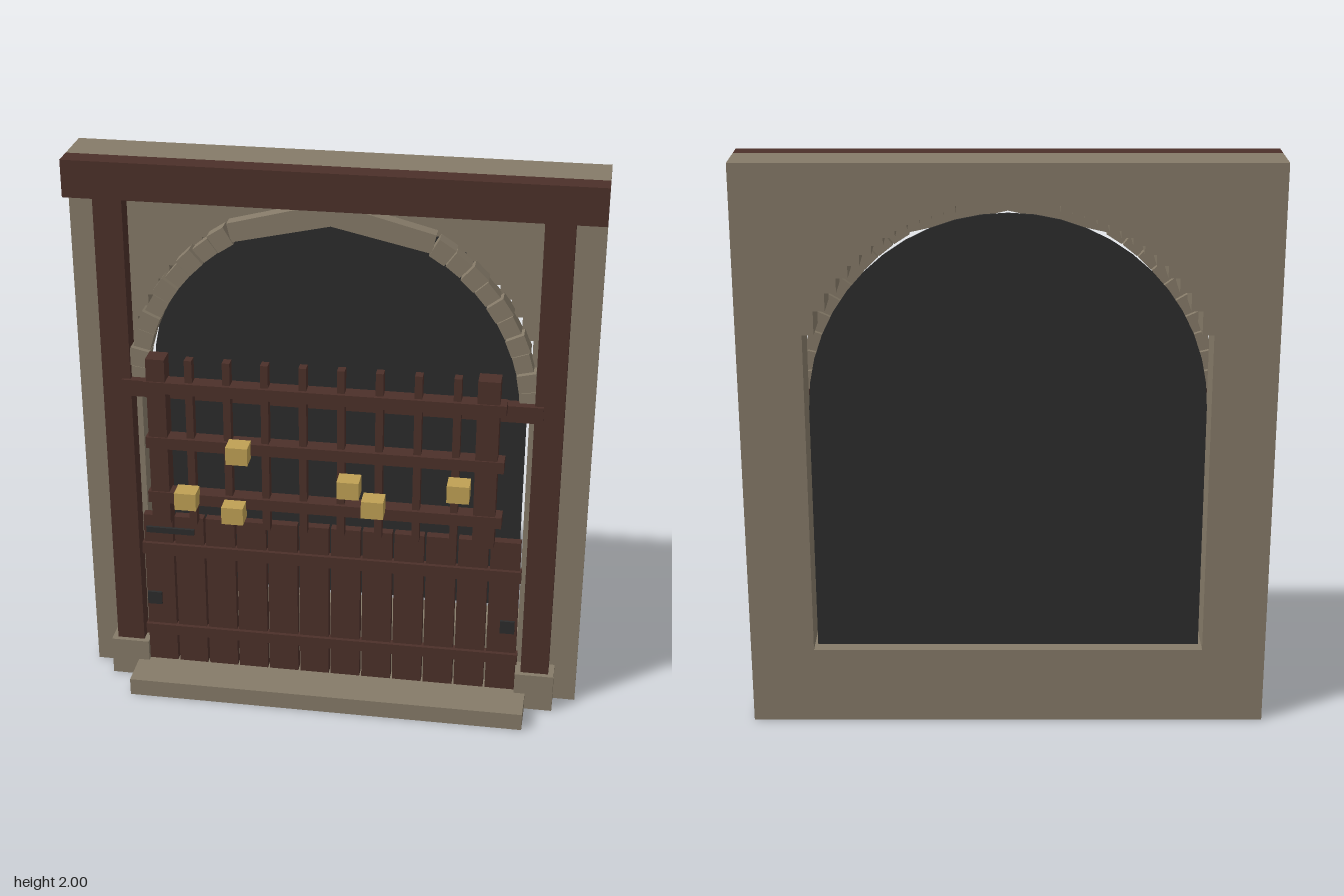
import * as THREE from 'three';

const mat = (name, color) => {
  const m = new THREE.MeshStandardMaterial({ color });
  m.name = name;
  return m;
};

export function createModel() {
  const group = new THREE.Group();
  group.name = 'archedGate';
  const stone = mat('stone', 0x857a68);
  const wood = mat('darkWood', 0x4b3029);
  const dark = mat('darkMetal', 0x2c2c2c);
  const gold = mat('gold', 0xbfa054);

  const add = (name, geometry, material) => {
    const mesh = new THREE.Mesh(geometry, material);
    mesh.name = name;
    group.add(mesh);
    return mesh;
  };
  // Box given by its limits on each axis
  const box = (name, material, x0, x1, y0, y1, z0, z1) => {
    const g = new THREE.BoxGeometry(x1 - x0, y1 - y0, z1 - z0);
    g.translate((x0 + x1) / 2, (y0 + y1) / 2, (z0 + z1) / 2);
    return add(name, g, material);
  };
  // Flat outline extruded between two depths
  const slab = (name, material, shape, z0, z1) => {
    const g = new THREE.ExtrudeGeometry(shape, { depth: z1 - z0, bevelEnabled: false });
    g.translate(0, 0, z0);
    return add(name, g, material);
  };
  const outline = pts => new THREE.Shape(pts.map(p => new THREE.Vector2(p[0], p[1])));

  const springY = 1.17;

  // Wall with a stepped arch opening
  const wall = outline([[-0.9, 0], [0.9, 0], [0.9, 2], [-0.9, 2]]);
  const half = [[0.68, 0.275]];
  const steps = 13;
  for (let i = 0; i < steps; i++) {
    const x = 0.68 - (i * 0.51) / steps;
    const next = 0.68 - ((i + 1) * 0.51) / steps;
    const y = springY + Math.sqrt(0.69 ** 2 - next ** 2);
    half.push([x, y], [next, y]);
  }
  half.push([0.17, 1.86]);
  const mirrored = half.map(([x, y]) => [-x, y]).reverse();
  wall.holes.push(new THREE.Path([...half, ...mirrored].map(p => new THREE.Vector2(...p))));
  slab('wall', stone, wall, -0.21, -0.05);

  // Dark panel filling the opening
  const panel = new THREE.Shape();
  panel.moveTo(-0.665, 0.295);
  panel.lineTo(0.665, 0.295);
  panel.lineTo(0.665, springY);
  panel.absarc(0, springY, 0.665, 0, Math.PI, false);
  panel.lineTo(-0.665, 0.295);
  slab('backPanel', dark, panel, -0.203, -0.195);

  // Arch stones, mirrored, with one long stone each side of the peak
  const stones = 10;
  const polar = (r, a) => [r * Math.cos(a), springY + r * Math.sin(a)];
  for (const s of [-1, 1]) {
    const place = (pts, z1) => {
      const p = pts.map(([x, y]) => [s * x, y]);
      slab('archStone', stone, outline(s < 0 ? p.reverse() : p), -0.06, z1);
    };
    for (let i = 0; i < stones; i++) {
      const a0 = 0.03 + (i * 1.02) / stones;
      const a1 = 0.03 + ((i + 1) * 1.02) / stones - 0.008;
      const r = 0.708 + (i % 2) * 0.008;
      place([polar(0.648, a0), polar(r, a0), polar(r, a1), polar(0.648, a1)], i % 2 ? 0.006 : -0.002);
    }
    place([[0.0, 1.81], [0.335, 1.735], [0.35, 1.80], [0.12, 1.86], [0.0, 1.868]], 0);
  }

  // Timber frame, footings and threshold
  box('topBeam', wood, -0.9, 0.9, 1.87, 2, -0.05, 0.025);
  box('springRail', wood, -0.73, 0.73, 1.155, 1.215, -0.02, 0.027);
  box('threshold', stone, -0.72, 0.72, 0, 0.065, -0.03, 0.17);
  for (const s of [-1, 1]) {
    box('post', wood, s * 0.75 - 0.05, s * 0.75 + 0.05, 0.1, 1.87, -0.05, 0.016);
    box('postFooting', stone, s * 0.75 - 0.07, s * 0.75 + 0.07, 0, 0.145, -0.05, 0.034);
  }

  // Lower gate: planks, rails and iron fittings
  for (let i = 0; i < 12; i++) {
    const x = -0.626 + i * 0.1138;
    box('plank', wood, x - 0.053, x + 0.053, 0.068, 0.68, -0.015, 0.018);
  }
  box('gateRail', wood, -0.685, 0.685, 0.525, 0.57, 0, 0.032);
  box('gateRail', wood, -0.685, 0.685, 0.185, 0.225, 0, 0.032);
  box('hingeStrap', dark, -0.665, -0.49, 0.62, 0.642, 0.03, 0.04);
  for (const s of [-1, 1]) {
    box('ironPlate', dark, s * 0.645 - 0.026, s * 0.645 + 0.026, 0.32, 0.37, 0.033, 0.042);
  }

  // Raised lattice in front
  box('latticeStile', wood, -0.61, -0.545, 0.725, 1.355, 0.08, 0.147);
  box('latticeStile', wood, 0.515, 0.59, 0.725, 1.355, 0.08, 0.147);
  for (let i = 0; i < 8; i++) {
    const x = -0.465 + i * 0.1305;
    box('latticeBar', wood, x - 0.013, x + 0.013, 0.725, 1.355, 0.104, 0.14);
  }
  for (const y of [0.83, 1.042, 1.252]) {
    box('latticeRail', wood, -0.62, 0.613, y - 0.021, y + 0.021, 0.095, 0.153);
  }

  // Gold blocks on the lattice
  const blocks = [[-0.29, 1.043], [-0.475, 0.852], [-0.31, 0.81], [0.092, 0.943], [0.176, 0.875], [0.466, 0.96]];
  for (const [x, y] of blocks) {
    box('goldBlock', gold, x - 0.038, x + 0.038, y - 0.032, y + 0.032, 0.145, 0.213);
  }

  // Centre front to back
  group.children.forEach(m => m.geometry.translate(0, 0, 0));
  return group;
}
